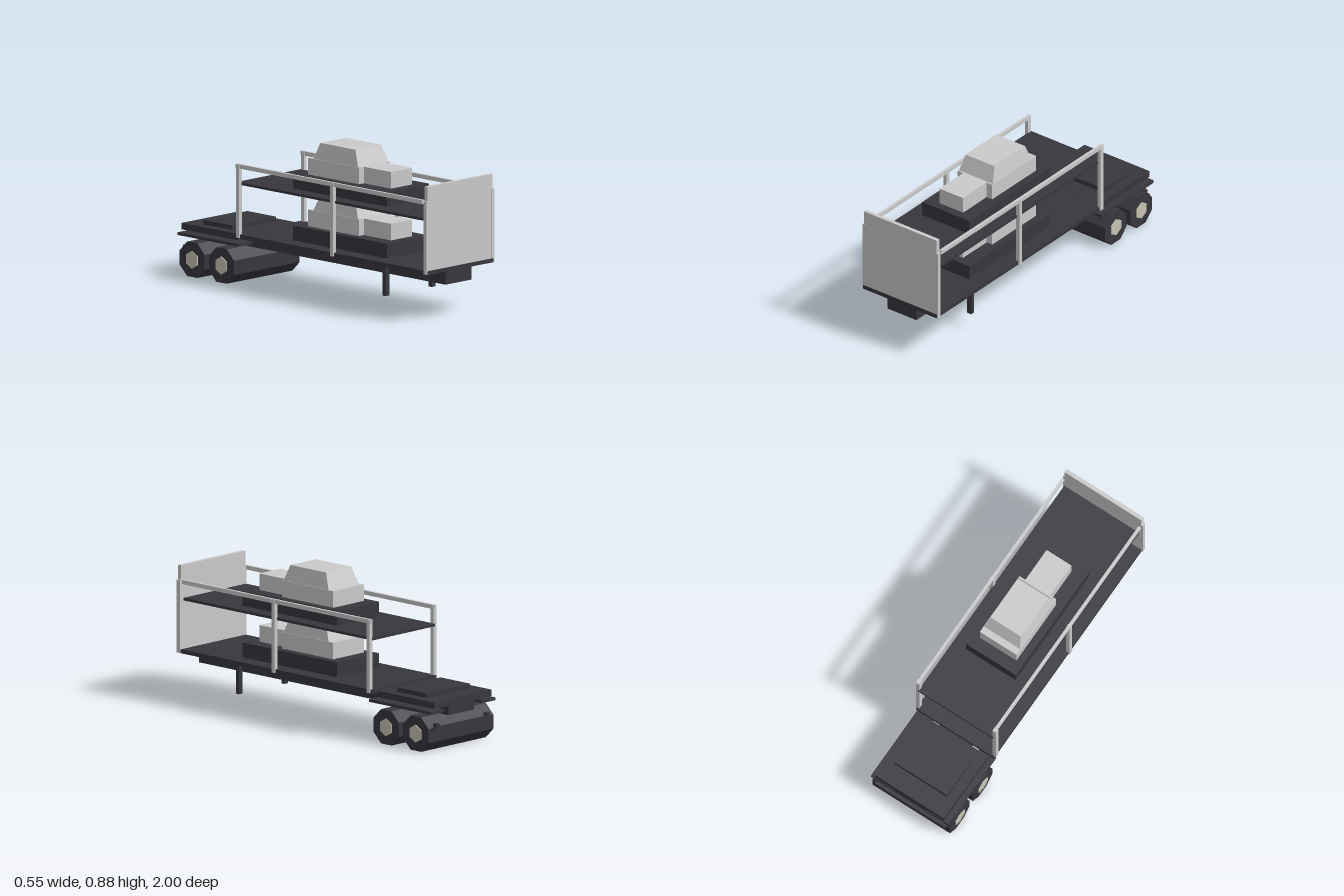
import * as THREE from 'three';

const mat = (name, color) => {
  const m = new THREE.MeshStandardMaterial({ color });
  m.name = name;
  return m;
};

export function createModel() {
  const dark = mat('darkSteel', 0x36363d);
  const light = mat('lightGrey', 0xcacaca);
  const hubCream = mat('hubCream', 0xc6c3b2);
  const root = new THREE.Group();
  root.name = 'carTransportTrailer';

  // Box given by its extents on each axis
  const box = (parent, name, material, [x0, x1], [y0, y1], [z0, z1]) => {
    const mesh = new THREE.Mesh(new THREE.BoxGeometry(x1 - x0, y1 - y0, z1 - z0), material);
    mesh.position.set((x0 + x1) / 2, (y0 + y1) / 2, (z0 + z1) / 2);
    mesh.name = name;
    parent.add(mesh);
    return mesh;
  };
  // The same box on both sides of the model
  const pair = (name, material, [x0, x1], y, z) => {
    box(root, name + 'Left', material, [x0, x1], y, z);
    box(root, name + 'Right', material, [-x1, -x0], y, z);
  };

  // Chassis and decks
  box(root, 'chassisBeam', dark, [-0.105, 0.105], [0.197, 0.278], [-0.985, 0.982]);
  box(root, 'lowerDeck', dark, [-0.265, 0.265], [0.277, 0.3], [-0.535, 1.0]);
  box(root, 'upperDeck', dark, [-0.255, 0.255], [0.585, 0.6], [-0.53, 0.96]);
  pair('landingLeg', dark, [0.171, 0.201], [0.09, 0.278], [0.575, 0.6]);

  // Headboard and side frame
  box(root, 'headboard', light, [-0.262, 0.262], [0.3, 0.788], [0.972, 0.996]);
  pair('headboardPost', light, [0.25, 0.273], [0.28, 0.703], [0.973, 0.998]);
  pair('sideRail', light, [0.253, 0.27], [0.683, 0.707], [-0.53, 0.96]);
  for (const z of [0.225, -0.525])
    pair('sidePost', light, [0.25, 0.273], [0.28, 0.703], [z, z + 0.025]);

  // Rear bogie platform, mudguards and bumper
  box(root, 'rearPlatform', dark, [-0.235, 0.235], [0.256, 0.293], [-0.998, -0.545]);
  box(root, 'rearTopPlate', dark, [-0.178, 0.178], [0.293, 0.319], [-0.88, -0.65]);
  pair('mudguard', dark, [0.157, 0.265], [0.227, 0.243], [-0.998, -0.512]);
  box(root, 'rearBumper', dark, [-0.24, 0.24], [0.125, 0.145], [-0.995, -0.975]);
  pair('bumperBlock', dark, [0.19, 0.22], [0.135, 0.165], [-1.0, -0.975]);

  // Full-width eight-sided wheel rollers with six-sided hubs
  const wheelGeo = new THREE.CylinderGeometry(0.108, 0.108, 0.53, 8).toNonIndexed();
  wheelGeo.rotateY(Math.PI / 8).rotateZ(Math.PI / 2).computeVertexNormals();
  const hubGeo = new THREE.CylinderGeometry(0.052, 0.052, 0.008, 6).toNonIndexed();
  hubGeo.rotateY(Math.PI / 2).rotateZ(Math.PI / 2).computeVertexNormals();
  for (const z of [-0.648, -0.882]) {
    const wheels = new THREE.Mesh(wheelGeo, dark);
    wheels.name = 'wheelPair';
    wheels.position.set(0, 0.1, z);
    root.add(wheels);
    for (const side of [-1, 1]) {
      const hub = new THREE.Mesh(hubGeo, hubCream);
      hub.name = 'wheelHub';
      hub.position.set(side * 0.266, 0.1, z);
      root.add(hub);
    }
  }

  // Carried vehicle: skid, bonnet, body and a tapered cabin
  const addVehicle = (name, y) => {
    const car = new THREE.Group();
    car.name = name;
    car.position.y = y;
    box(car, 'vehicleBase', dark, [-0.17, 0.17], [0, 0.086], [-0.17, 0.578]);
    box(car, 'bonnet', light, [-0.085, 0.085], [0.086, 0.182], [0.3, 0.527]);
    box(car, 'body', light, [-0.125, 0.125], [0.086, 0.182], [-0.095, 0.31]);
    const cabin = box(car, 'cabin', light, [-0.122, 0.122], [0.182, 0.276], [-0.055, 0.3]);
    const p = cabin.geometry.attributes.position;
    for (let i = 0; i < p.count; i++) {
      if (p.getY(i) < 0) continue;
      p.setX(i, p.getX(i) * 0.85);
      p.setZ(i, p.getZ(i) - Math.sign(p.getZ(i)) * 0.037);
    }
    cabin.geometry.computeVertexNormals();
    root.add(car);
  };
  addVehicle('lowerVehicle', 0.3);
  addVehicle('upperVehicle', 0.6);

  return root;
}
